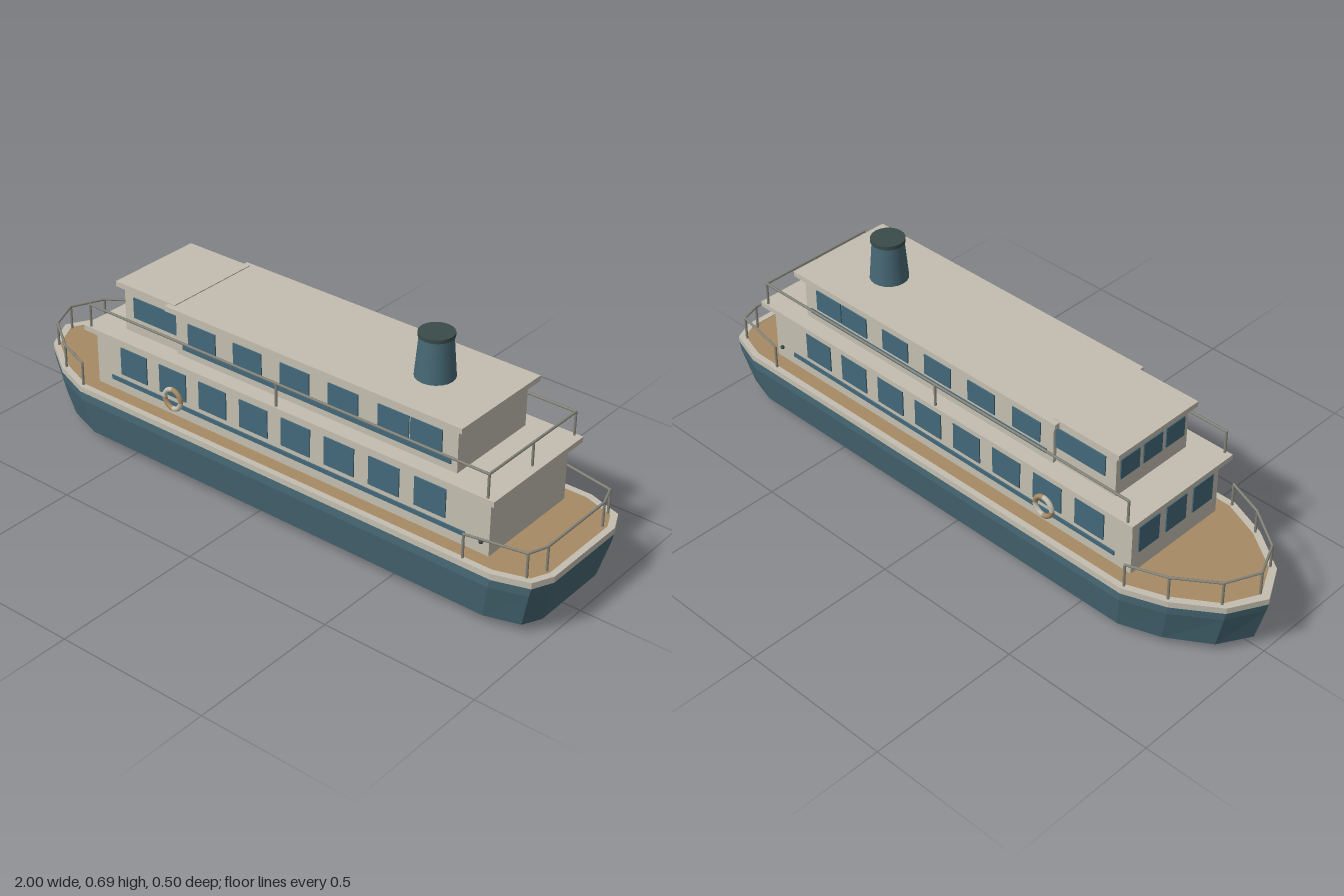
import * as THREE from 'three';

const mat = (name, color, extra = {}) => {
  const m = new THREE.MeshStandardMaterial({ color, ...extra });
  m.name = name;
  return m;
};

export function createModel() {
  const boat = new THREE.Group();
  boat.name = 'riverBoat';
  const teal = mat('hullTeal', 0x476874, { flatShading: true });
  const funnelTeal = mat('funnelTeal', 0x476874);
  const glass = mat('windowTeal', 0x44687a);
  const cream = mat('cream', 0xc3beb0);
  const wood = mat('deckWood', 0xa68a63);
  const metal = mat('railMetal', 0x85847a);
  const dark = mat('funnelCap', 0x3a4b4a);

  const add = (name, geo, material, x = 0, y = 0, z = 0, parent = boat) => {
    const m = new THREE.Mesh(geo, material);
    m.name = name;
    m.position.set(x, y, z);
    parent.add(m);
    return m;
  };
  // box given by its limits in x and y, and its half width in z
  const block = (name, x0, x1, y0, y1, hz, material = cream) =>
    add(name, new THREE.BoxGeometry(x1 - x0, y1 - y0, hz * 2), material, (x0 + x1) / 2, (y0 + y1) / 2, 0);

  // plan outline, bow at -x; one side is mirrored to the other
  const mirror = (half) => [...half, ...half.filter(p => p[1] > 0).reverse().map(([x, z]) => [x, -z])];
  const outline = mirror([[-1, 0], [-0.94, 0.11], [-0.81, 0.2], [-0.68, 0.249], [0.86, 0.249], [0.97, 0.213], [1, 0.148]]);
  const inner = mirror([[-0.972, 0], [-0.92, 0.1], [-0.798, 0.182], [-0.675, 0.229], [0.855, 0.229], [0.955, 0.197], [0.98, 0.142]]);

  // hull: the outline lofted through scaled levels [y, x scale, z scale]
  const levels = [[0, 0.86, 0.68], [0.03, 0.962, 0.9], [0.15, 0.994, 1], [0.178, 1, 1]];
  const rings = levels.map(([y, sx, sz]) => outline.map(([x, z]) => [x * sx, y, z * sz]));
  const verts = [];
  const n = outline.length;
  for (let i = 0; i < n; i++) {
    const j = (i + 1) % n;
    verts.push(0, 0, 0, ...rings[0][j], ...rings[0][i]);
    for (let k = 0; k < rings.length - 1; k++) {
      const a = rings[k], b = rings[k + 1];
      verts.push(...a[i], ...a[j], ...b[j], ...a[i], ...b[j], ...b[i]);
    }
  }
  const hullGeo = new THREE.BufferGeometry();
  hullGeo.setAttribute('position', new THREE.Float32BufferAttribute(verts, 3));
  hullGeo.computeVertexNormals();
  add('hull', hullGeo, teal);

  // gunwale rim and deck
  const toPoints = (pts) => pts.map(([x, z]) => new THREE.Vector2(x, -z));
  const slab = (name, pts, hole, y0, y1, material) => {
    const shape = new THREE.Shape(toPoints(pts));
    if (hole) shape.holes.push(new THREE.Path(toPoints(hole)));
    const geo = new THREE.ExtrudeGeometry(shape, { depth: y1 - y0, bevelEnabled: false });
    add(name, geo.rotateX(-Math.PI / 2), material, 0, y0, 0);
  };
  slab('gunwale', outline, inner, 0.177, 0.197, cream);
  slab('deck', inner, null, 0.175, 0.195, wood);

  // cabins and roofs
  block('lowerCabin', -0.66, 0.81, 0.19, 0.382, 0.184);
  block('lowerRoof', -0.683, 0.838, 0.38, 0.397, 0.214);
  block('upperCabin', -0.345, 0.68, 0.395, 0.542, 0.162);
  block('upperRoof', -0.37, 0.705, 0.54, 0.557, 0.184);
  block('wheelhouse', -0.565, -0.34, 0.395, 0.545, 0.15);
  block('wheelhouseRoof', -0.585, -0.345, 0.543, 0.56, 0.166);

  // windows and stripes as thin plates on both sides
  const sidePlate = (name, cx, w, y0, y1, z) => {
    for (const s of [-1, 1])
      add(name, new THREE.BoxGeometry(w, y1 - y0, 0.005), glass, cx, (y0 + y1) / 2, s * (z + 0.0015));
  };
  for (let i = 0; i < 8; i++) sidePlate('lowerWindow', -0.505 + i * 0.1593, 0.107, 0.258, 0.35, 0.184);
  for (let i = 0; i < 5; i++) sidePlate('upperWindow', -0.243 + i * 0.1765, 0.107, 0.445, 0.514, 0.162);
  sidePlate('upperWindow', 0.575, 0.107, 0.445, 0.514, 0.162);
  sidePlate('wheelhouseWindow', -0.435, 0.185, 0.45, 0.518, 0.15);
  sidePlate('lowerStripe', 0.065, 1.33, 0.227, 0.241, 0.184);
  sidePlate('upperStripe', 0.17, 0.98, 0.42, 0.434, 0.162);
  for (const i of [-1, 0, 1]) {
    add('lowerBowWindow', new THREE.BoxGeometry(0.005, 0.09, 0.085), glass, -0.6615, 0.304, i * 0.115);
    add('wheelhouseBowWindow', new THREE.BoxGeometry(0.005, 0.068, 0.078), glass, -0.5665, 0.484, i * 0.095);
  }
  // door knobs near the stern
  for (const s of [-1, 1])
    add('doorKnob', new THREE.SphereGeometry(0.007, 10, 8), dark, 0.785, 0.235, s * 0.187);

  // rails: a bar along the points, with a post under each
  const rod = (name, a, b, parent) => {
    const d = b.clone().sub(a);
    const m = add(name, new THREE.CylinderGeometry(0.004, 0.004, d.length(), 8), metal, 0, 0, 0, parent);
    m.position.copy(a).addScaledVector(d, 0.5);
    m.quaternion.setFromUnitVectors(new THREE.Vector3(0, 1, 0), d.normalize());
  };
  const railing = (name, pts, y0, y1) => {
    const g = new THREE.Group();
    g.name = name;
    boat.add(g);
    const top = pts.map(([x, z]) => new THREE.Vector3(x, y1, z));
    top.forEach((p, i) => {
      rod('post', new THREE.Vector3(p.x, y0, p.z), p, g);
      add('joint', new THREE.SphereGeometry(0.004, 8, 6), metal, p.x, p.y, p.z, g);
      if (i) rod('bar', top[i - 1], p, g);
    });
  };
  const both = (pts) => [...pts, ...pts.filter(p => p[1] > 0).reverse().map(([x, z]) => [x, -z])];
  railing('bowRail', both([[-0.68, 0.235], [-0.8, 0.19], [-0.92, 0.105], [-0.968, 0]]), 0.19, 0.274);
  railing('sternRail', both([[0.76, 0.235], [0.945, 0.2], [0.967, 0.137]]), 0.19, 0.274);
  railing('upperRail', both([[-0.66, 0.206], [0.078, 0.206], [0.813, 0.206], [0.813, 0]]), 0.395, 0.472);

  // lifebuoys in alternating quarters
  for (const s of [-1, 1])
    for (let q = 0; q < 4; q++) {
      const m = add('lifebuoy', new THREE.TorusGeometry(0.032, 0.008, 10, 8, Math.PI / 2),
        q % 2 ? cream : wood, -0.34, 0.255, s * 0.194);
      m.rotation.z = q * Math.PI / 2;
    }

  // funnel
  add('funnel', new THREE.CylinderGeometry(0.049, 0.06, 0.13, 20), funnelTeal, 0.48, 0.62, 0);
  add('funnelCap', new THREE.CylinderGeometry(0.053, 0.053, 0.012, 20), dark, 0.48, 0.689, 0);

  return boat;
}
